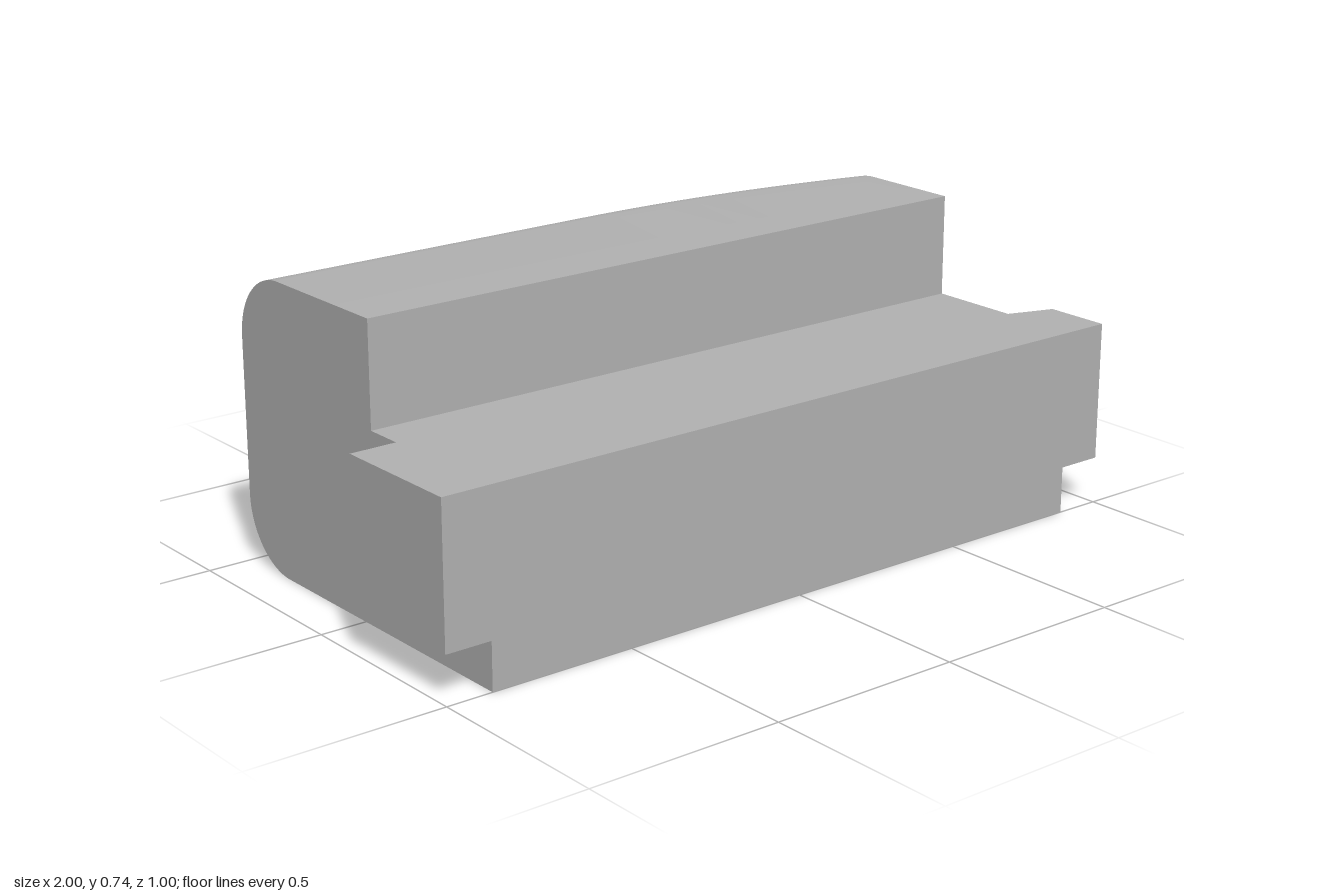
import * as THREE from 'three';
import { toCreasedNormals } from 'three/addons/utils/BufferGeometryUtils.js';

const HALF = 0.88;    // half length of the main body
const LEDGE = 0.475;  // height of the front step
const TOP = 0.735;    // full height
const R = 0.17;       // radius of the rear edges

// Forward sweep of the back wall towards the +x end
function sweep(x) {
  const t = Math.max(0, (x - 0.05) / (HALF - 0.05));
  return 0.11 * t * t;
}

// Stepped side profile extruded along x, rear vertices moved along the sweep
function bodyGeometry() {
  const s = new THREE.Shape(); // horizontal axis is -z
  s.moveTo(-0.5, 0);
  s.lineTo(0.5 - R, 0);
  s.absarc(0.5 - R, R, R, -Math.PI / 2, 0, false);
  s.lineTo(0.5, TOP - R);
  s.absarc(0.5 - R, TOP - R, R, 0, Math.PI / 2, false);
  s.lineTo(-0.05, TOP);
  s.lineTo(-0.05, LEDGE);
  s.lineTo(-0.5, LEDGE);
  s.closePath();
  const g = new THREE.ExtrudeGeometry(s, { depth: 2 * HALF, steps: 36, curveSegments: 16, bevelEnabled: false });
  g.translate(0, 0, -HALF);
  g.rotateY(Math.PI / 2);
  const p = g.attributes.position;
  for (let i = 0; i < p.count; i++) {
    if (p.getZ(i) < -0.1) p.setZ(i, p.getZ(i) + sweep(p.getX(i)));
  }
  return toCreasedNormals(g, 0.5);
}

// End tab from its plan outline of [x, z] corners
function tabGeometry(plan) {
  const s = new THREE.Shape(plan.map(([x, z]) => new THREE.Vector2(x, -z)));
  const g = new THREE.ExtrudeGeometry(s, { depth: LEDGE - 0.12, bevelEnabled: false });
  g.rotateX(-Math.PI / 2);
  g.translate(0, 0.12, 0);
  return g;
}

export function createModel() {
  const model = new THREE.Group();
  model.name = 'steppedBlock';
  const grey = new THREE.MeshStandardMaterial({ color: 0xb2b2b2 });
  grey.name = 'grey';

  const add = (name, geometry) => {
    const mesh = new THREE.Mesh(geometry, grey);
    mesh.name = name;
    model.add(mesh);
  };

  add('body', bodyGeometry());
  // Square tab on one end, slanted tab on the other
  add('rightTab', tabGeometry([[-1, 0.5], [-HALF, 0.5], [-HALF, 0.15], [-1, 0.15]]));
  add('leftTab', tabGeometry([[HALF, 0.5], [1, 0.5], [1, 0.33], [HALF, 0.29]]));
  return model;
}
